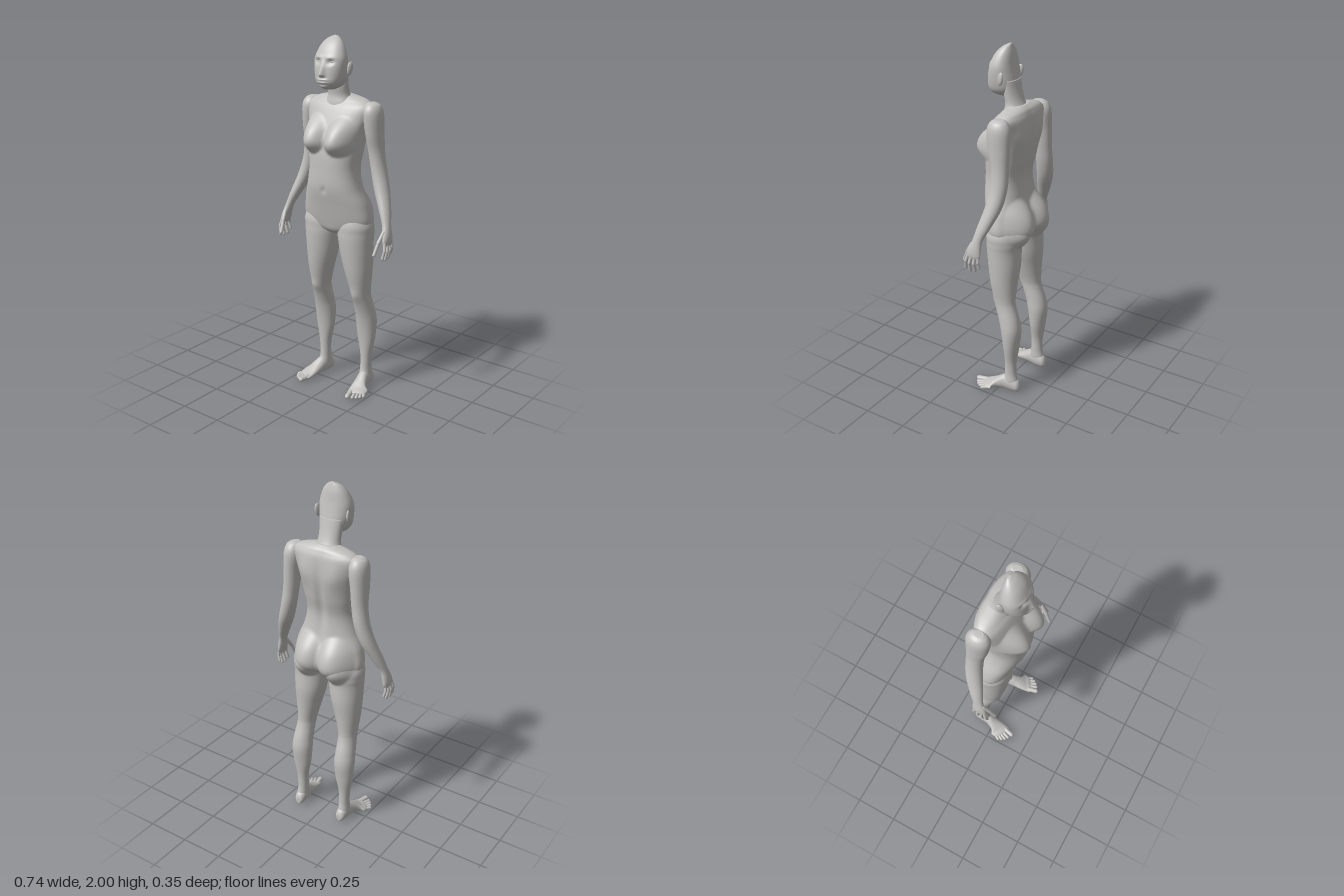
import * as THREE from 'three';

const skin = new THREE.MeshStandardMaterial({ color: 0xc2c1be });
skin.name = 'plain grey';

const clamp = (v) => Math.min(1, Math.max(0, v));
const bell = (v, centre, width) => Math.exp(-(((v - centre) / width) ** 2));
const dome = (dx, dy) => Math.pow(Math.max(0, 1 - dx * dx - dy * dy), 1.2);

// Smooth closed skin through rings of [y, centre x, half width, front z, back z]
function loft(rings, { segs = 48, steps = 8, power = 1, shape = null } = {}) {
  const r = [...rings].sort((a, b) => a[0] - b[0]);
  const rows = [];
  for (let i = 0; i < r.length - 1; i++) {
    const p0 = r[Math.max(0, i - 1)], p1 = r[i], p2 = r[i + 1], p3 = r[Math.min(r.length - 1, i + 2)];
    for (let s = 0; s < steps + (i === r.length - 2 ? 1 : 0); s++) {
      const t = s / steps;
      rows.push(p1.map((b, k) => {
        const m1 = (p2[k] - p0[k]) / 2, m2 = (p3[k] - b) / 2, d = p2[k] - b;
        return b + m1 * t + (3 * d - 2 * m1 - m2) * t * t + (m1 + m2 - 2 * d) * t * t * t;
      }));
    }
  }
  // Collapsed rows close both ends
  const tip = ([y, x, , f, b]) => [y, x, 0, (f + b) / 2, (f + b) / 2];
  rows.unshift(tip(rows[0]));
  rows.push(tip(rows[rows.length - 1]));

  const pos = [], index = [], v = new THREE.Vector3();
  const soft = (n) => Math.sign(n) * Math.pow(Math.abs(n), power);
  rows.forEach(([y, cx, w, f, b], i) => {
    for (let j = 0; j < segs; j++) {
      const a = (j / segs) * Math.PI * 2;
      v.set(cx + w * soft(Math.sin(a)), y, (f + b) / 2 + ((f - b) / 2) * soft(Math.cos(a)));
      if (shape) shape(v);
      pos.push(v.x, v.y, v.z);
      if (i < rows.length - 1) {
        const p = i * segs + j, q = i * segs + ((j + 1) % segs);
        index.push(p, q, q + segs, p, q + segs, p + segs);
      }
    }
  });
  const g = new THREE.BufferGeometry();
  g.setAttribute('position', new THREE.Float32BufferAttribute(pos, 3));
  g.setIndex(index);
  g.computeVertexNormals();
  return g;
}

// Rounded finger or toe between two points
function digit(from, to, radius) {
  const a = new THREE.Vector3(...from), b = new THREE.Vector3(...to), d = b.clone().sub(a);
  const g = new THREE.CapsuleGeometry(radius, d.length(), 6, 14);
  g.applyQuaternion(new THREE.Quaternion().setFromUnitVectors(new THREE.Vector3(0, 1, 0), d.normalize()));
  return g.translate(...a.add(b).multiplyScalar(0.5).toArray());
}

function mirrored(geometry) {
  const g = geometry.clone().scale(-1, 1, 1);
  const ix = g.index.array;
  for (let i = 0; i < ix.length; i += 3) [ix[i], ix[i + 1]] = [ix[i + 1], ix[i]];
  g.computeVertexNormals();
  return g;
}

// Body relief shared by torso and legs
function bodyRelief(v) {
  const ax = Math.abs(v.x), { y, z } = v;
  if (z > 0) {
    const front = clamp(z / 0.05);
    v.z += 0.068 * front * dome((ax - 0.085) / 0.09, (y - 1.462) / (y < 1.462 ? 0.082 : 0.13));
    v.z -= 0.008 * front * bell(v.x, 0, 0.012) * bell(y, 1.19, 0.016);
    v.z += 0.007 * bell(ax, 0.138, 0.03) * bell(y, 0.58, 0.035);
  } else {
    const back = clamp(-z / 0.06);
    v.z -= 0.064 * back * dome((ax - 0.085) / 0.11, (y - 1.03) / (y < 1.03 ? 0.12 : 0.16));
    v.z += 0.016 * back * bell(v.x, 0, 0.025) * bell(y, 1.38, 0.2);
    v.z -= 0.01 * back * bell(ax, 0.095, 0.045) * bell(y, 1.54, 0.07);
  }
}

// Nose, eye sockets, lips and chin
function faceRelief(v) {
  const ax = Math.abs(v.x), { x, y } = v;
  const front = clamp((v.z - 0.06) / 0.04);
  const nose = y < 1.807 ? clamp((y - 1.793) / 0.014) : clamp((1.89 - y) / 0.083);
  const lips = bell(y, 1.782, 0.006) + bell(y, 1.768, 0.006);
  v.z += front * (0.024 * nose * bell(x, 0, 0.015)
    + 0.009 * lips * bell(x, 0, 0.028)
    + 0.008 * bell(x, 0, 0.026) * bell(y, 1.743, 0.012)
    + 0.004 * bell(y, 1.895, 0.01) * bell(ax, 0.035, 0.03)
    - 0.012 * bell(ax, 0.04, 0.019) * bell(y, 1.873, 0.014));
}

export function createModel() {
  const group = new THREE.Group();
  group.name = 'human figure';
  const add = (name, geometry) => {
    const m = new THREE.Mesh(geometry, skin);
    m.name = name;
    group.add(m);
  };
  const addPair = (name, geometry) => {
    add('left ' + name, geometry);
    add('right ' + name, mirrored(geometry));
  };

  add('torso', loft([
    [0.93, 0, 0.05, 0.05, -0.05], [0.955, 0, 0.13, 0.075, -0.09], [1.0, 0, 0.21, 0.09, -0.108],
    [1.1, 0, 0.2, 0.115, -0.104], [1.2, 0, 0.164, 0.138, -0.086], [1.3, 0, 0.146, 0.14, -0.08],
    [1.4, 0, 0.156, 0.135, -0.1], [1.5, 0, 0.17, 0.112, -0.114], [1.57, 0, 0.19, 0.085, -0.115],
    [1.63, 0, 0.203, 0.055, -0.11], [1.66, 0, 0.175, 0.03, -0.1], [1.677, 0, 0.13, 0.015, -0.09],
    [1.692, 0, 0.06, 0.0, -0.07],
  ], { segs: 112, steps: 10, power: 0.88, shape: bodyRelief }));

  add('neck', loft([
    [1.6, 0, 0.11, 0.055, -0.1], [1.65, 0, 0.088, 0.047, -0.088], [1.69, 0, 0.066, 0.04, -0.06],
    [1.74, 0, 0.064, 0.046, -0.04], [1.82, 0, 0.07, 0.05, -0.02],
  ]));

  add('head', loft([
    [1.728, 0, 0.028, 0.105, 0.03], [1.745, 0, 0.058, 0.128, 0.0], [1.77, 0, 0.077, 0.14, -0.02],
    [1.81, 0, 0.088, 0.139, -0.021], [1.86, 0, 0.093, 0.133, -0.012], [1.9, 0, 0.089, 0.122, -0.005],
    [1.95, 0, 0.068, 0.095, 0.002], [1.983, 0, 0.041, 0.062, 0.01], [2.0, 0, 0.01, 0.03, 0.015],
  ], { segs: 112, steps: 12, power: 0.92, shape: faceRelief }));

  const eye = new THREE.SphereGeometry(0.011, 20, 14).scale(1.25, 0.6, 0.8).translate(0.04, 1.873, 0.107);
  addPair('eye', eye);
  const ear = new THREE.SphereGeometry(1, 24, 16).scale(0.01, 0.036, 0.019)
    .rotateX(-0.2).rotateY(-0.3).translate(0.093, 1.835, 0.025);
  addPair('ear', ear);

  // Arm runs down to the palm
  addPair('arm', loft([
    [1.662, 0.195, 0.02, -0.01, -0.06], [1.645, 0.2, 0.04, 0.015, -0.085], [1.6, 0.202, 0.052, 0.03, -0.102],
    [1.5, 0.21, 0.046, 0.02, -0.102], [1.4, 0.217, 0.042, 0.0, -0.1], [1.3, 0.233, 0.042, -0.004, -0.1],
    [1.2, 0.263, 0.041, 0.008, -0.085], [1.1, 0.305, 0.031, 0.03, -0.045], [1.03, 0.332, 0.022, 0.045, -0.014],
    [0.98, 0.345, 0.02, 0.066, -0.01], [0.945, 0.351, 0.016, 0.074, -0.01], [0.925, 0.352, 0.01, 0.066, -0.004],
  ]));

  // Thumb and fingers: root, knuckle, tip
  [
    [[0.338, 1.0, 0.05], [0.328, 0.945, 0.085], [0.32, 0.885, 0.112], 0.0105],
    [[0.352, 0.95, 0.062], [0.361, 0.905, 0.074], [0.352, 0.862, 0.08], 0.009],
    [[0.352, 0.95, 0.043], [0.363, 0.9, 0.05], [0.352, 0.852, 0.053], 0.0092],
    [[0.352, 0.95, 0.022], [0.362, 0.9, 0.024], [0.35, 0.856, 0.023], 0.0088],
    [[0.35, 0.95, 0.003], [0.358, 0.91, 0.0], [0.349, 0.876, -0.004], 0.0078],
  ].forEach(([root, knuckle, tip, r], i) => {
    const name = i ? 'finger ' + i : 'thumb';
    addPair(name + ' base', digit(root, knuckle, r));
    addPair(name + ' tip', digit(knuckle, tip, r * 0.92));
  });

  addPair('leg', loft([
    [1.08, 0.12, 0.06, 0.06, -0.06], [1.0, 0.115, 0.1, 0.084, -0.1], [0.95, 0.113, 0.104, 0.086, -0.108],
    [0.9, 0.114, 0.1, 0.085, -0.104], [0.8, 0.12, 0.09, 0.076, -0.105], [0.7, 0.13, 0.073, 0.062, -0.096],
    [0.6, 0.138, 0.054, 0.04, -0.09], [0.55, 0.141, 0.051, 0.026, -0.096], [0.47, 0.145, 0.056, 0.0, -0.12],
    [0.4, 0.146, 0.06, -0.016, -0.13], [0.3, 0.146, 0.053, -0.03, -0.119], [0.2, 0.147, 0.034, -0.037, -0.106],
    [0.12, 0.146, 0.03, -0.035, -0.106], [0.07, 0.147, 0.032, -0.025, -0.115], [0.03, 0.147, 0.028, -0.03, -0.12],
  ], { segs: 72, shape: bodyRelief }));

  // Foot is lofted heel to ball, sheared for the toe line, then laid flat
  const shearToes = (v) => { v.y -= clamp(v.y / 0.06) * (v.x - 0.165) * 0.6; };
  addPair('foot', loft([
    [-0.13, 0.146, 0.014, -0.012, -0.05], [-0.117, 0.146, 0.027, -0.004, -0.075], [-0.08, 0.147, 0.033, 0, -0.1],
    [-0.035, 0.152, 0.033, -0.002, -0.098], [0.02, 0.166, 0.04, -0.002, -0.063], [0.06, 0.181, 0.047, 0, -0.04],
    [0.09, 0.186, 0.044, -0.003, -0.028], [0.102, 0.188, 0.034, -0.007, -0.02],
  ], { shape: shearToes }).rotateX(Math.PI / 2));

  [
    [[0.156, 0.016, 0.085], [0.168, 0.0145, 0.137], 0.0145],
    [[0.179, 0.014, 0.08], [0.194, 0.011, 0.125], 0.01],
    [[0.194, 0.013, 0.07], [0.211, 0.0105, 0.112], 0.0095],
    [[0.207, 0.012, 0.06], [0.224, 0.01, 0.095], 0.009],
    [[0.219, 0.011, 0.048], [0.234, 0.0095, 0.075], 0.009],
  ].forEach(([root, tip, r], i) => addPair('toe ' + (i + 1), digit(root, tip, r)));

  return group;
}
